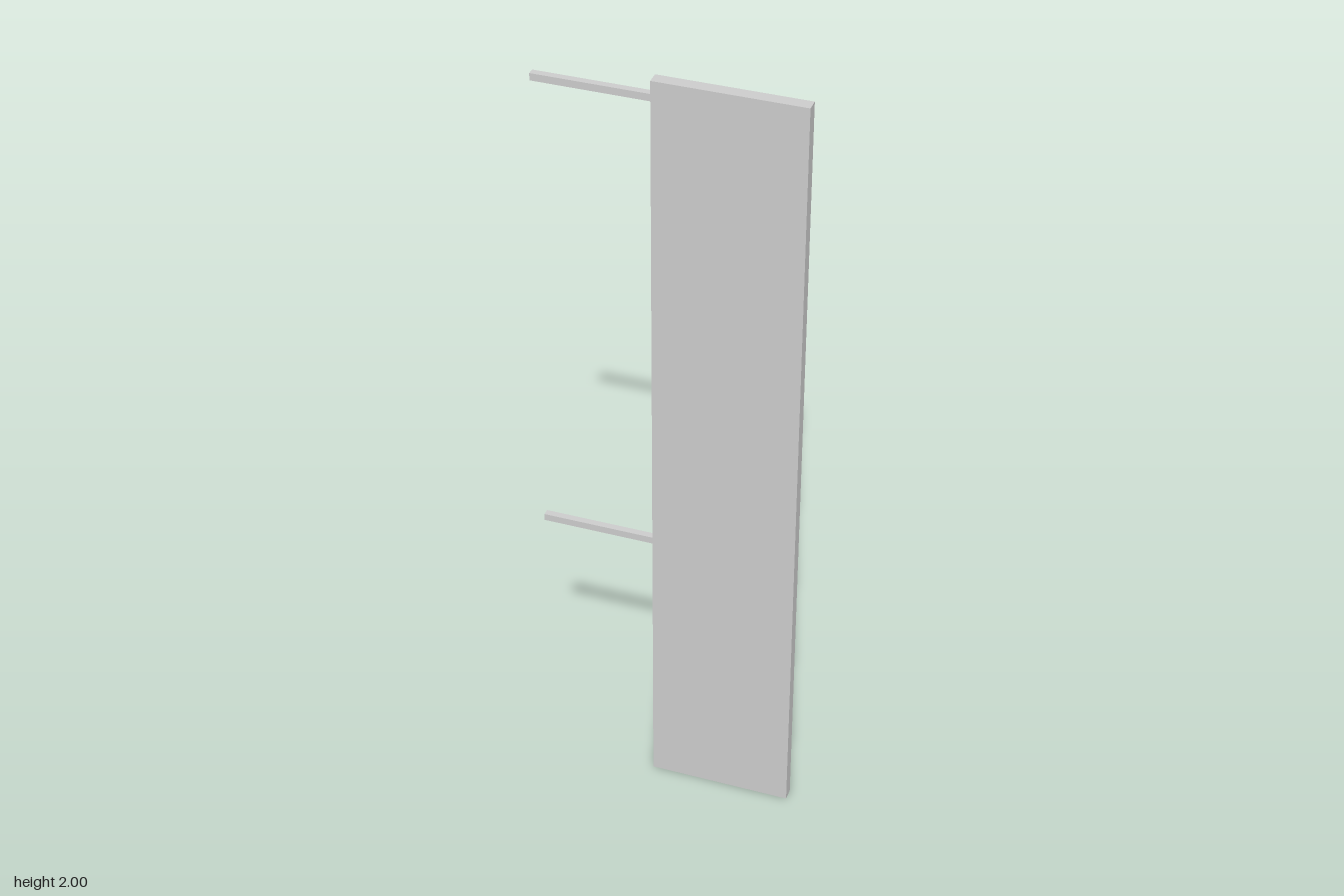
import * as THREE from 'three';

export function createModel() {
  const group = new THREE.Group();
  const material = new THREE.MeshStandardMaterial({ color: 0xcccccc, flatShading: true });

  // Box given by its x range, y centre and sizes
  function addBox(name, x0, x1, y, height, depth) {
    const mesh = new THREE.Mesh(new THREE.BoxGeometry(x1 - x0, height, depth), material);
    mesh.name = name;
    mesh.position.set((x0 + x1) / 2, y, 0);
    group.add(mesh);
  }

  // Tall flat sign panel
  const panelEdge = -0.038;
  addBox('panel', panelEdge, 0.32, 1, 2, 0.031);

  // Two square bars holding the panel from its side
  addBox('upperBar', -0.32, panelEdge, 1.955, 0.018, 0.017);
  addBox('lowerBar', -0.32, panelEdge, 0.738, 0.018, 0.017);

  return group;
}
